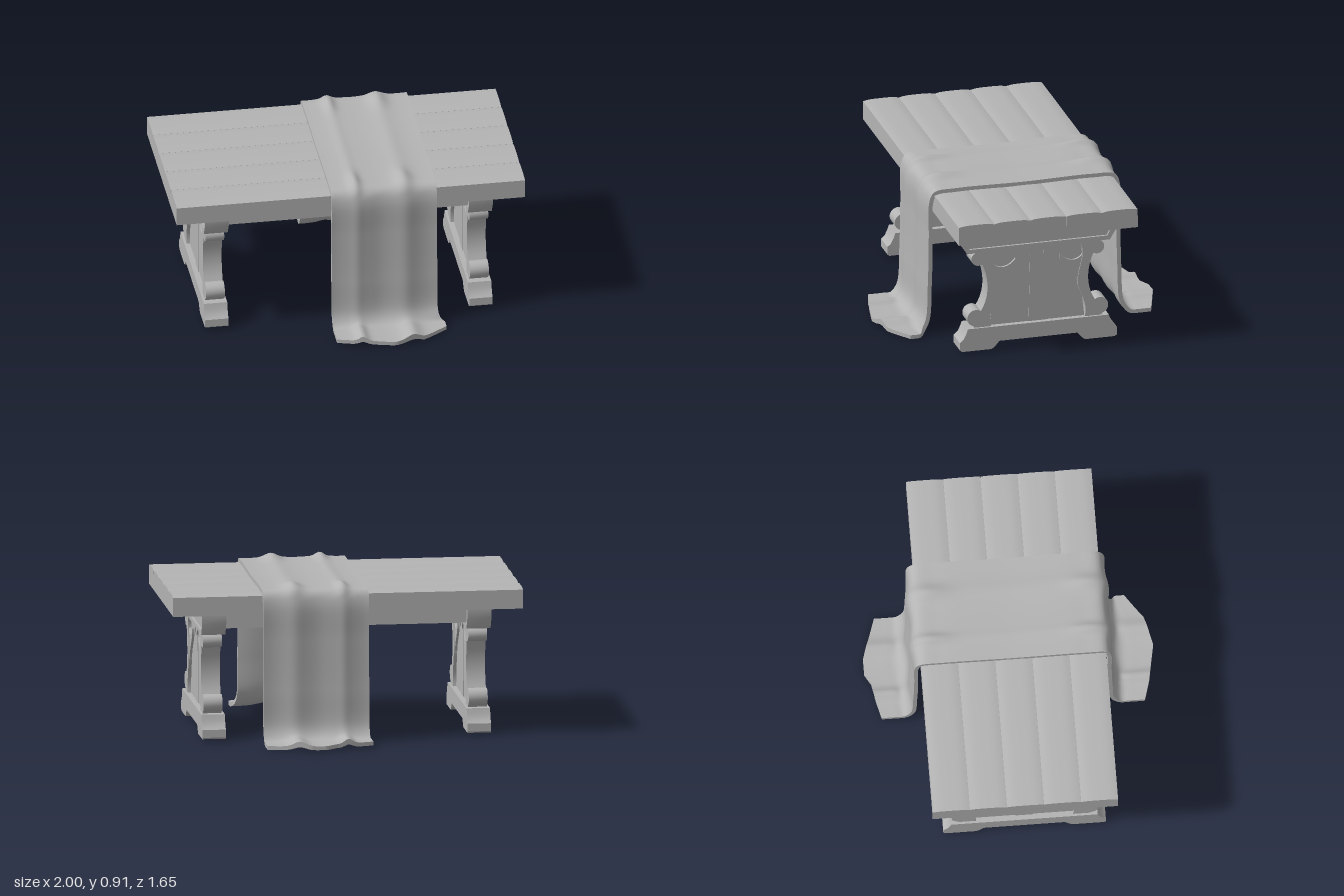
import * as THREE from 'three';
import { toCreasedNormals } from 'three/addons/utils/BufferGeometryUtils.js';

const stone = new THREE.MeshStandardMaterial({ color: 0xb4b4b4 });
stone.name = 'plain grey';

const mesh = (name, geometry) => {
  const m = new THREE.Mesh(geometry, stone);
  m.name = name;
  return m;
};

// Extrudes a (z, y) shape along x, centred on x = 0
function slab(name, shape, width) {
  const g = new THREE.ExtrudeGeometry(shape, { depth: width, bevelEnabled: false, curveSegments: 10 });
  g.translate(0, 0, -width / 2);
  g.rotateY(-Math.PI / 2);
  return mesh(name, toCreasedNormals(g, 0.6));
}
const poly = (pts, s = 1) => new THREE.Shape(pts.map(([z, y]) => new THREE.Vector2(z * s, y)));
// Outline from a half profile, mirrored in z
const symmetric = (half) => poly([...half, ...half.map(([z, y]) => [-z, y]).reverse()]);

// Five planks with slightly crowned tops and eased seams
function tableTop() {
  const top = new THREE.Group();
  top.name = 'tableTop';
  const w = 1.054 / 5;
  for (let i = 0; i < 5; i++) {
    const pts = [[-w / 2, 0.74], [w / 2, 0.74]];
    for (let k = 0; k <= 8; k++) {
      const t = 1 - k / 4;
      pts.push([(w / 2 - 0.0005) * t, 0.857 - 0.008 * t ** 4]);
    }
    const plank = slab('plank', poly(pts), 2);
    plank.position.z = 0.004 + (i - 2) * w;
    top.add(plank);
  }
  return top;
}

// Side scroll: round volutes at top and bottom joined by a concave sweep
function scrollShape(s) {
  const sh = new THREE.Shape();
  const P = (z, y) => [z * s, y];
  sh.moveTo(...P(0.275, 0.145));
  sh.lineTo(...P(0.37, 0.145));
  const arc = (cz, cy, r, a0, a1) => {
    for (let i = 0; i <= 12; i++) {
      const a = a0 + (a1 - a0) * i / 12;
      sh.lineTo(...P(cz + r * Math.cos(a), cy + r * Math.sin(a)));
    }
  };
  arc(0.365, 0.208, 0.05, -1.3, 2.2);
  sh.bezierCurveTo(...P(0.285, 0.33), ...P(0.285, 0.43), ...P(0.325, 0.53));
  arc(0.35, 0.567, 0.041, -2.0, 1.3);
  sh.lineTo(...P(0.34, 0.615));
  sh.lineTo(...P(0.24, 0.615));
  sh.bezierCurveTo(...P(0.30, 0.53), ...P(0.23, 0.46), ...P(0.235, 0.36));
  sh.bezierCurveTo(...P(0.24, 0.30), ...P(0.30, 0.24), ...P(0.275, 0.145));
  return sh;
}

// Hooked leaf growing from the inside of each scroll
function leafShape(s) {
  const sh = new THREE.Shape();
  const P = (z, y) => [z * s, y];
  sh.moveTo(...P(0.245, 0.36));
  sh.lineTo(...P(0.28, 0.55));
  sh.bezierCurveTo(...P(0.25, 0.49), ...P(0.18, 0.48), ...P(0.13, 0.545));
  sh.bezierCurveTo(...P(0.12, 0.47), ...P(0.21, 0.45), ...P(0.235, 0.36));
  return sh;
}

// Small curved spandrel under the bracket
function spandrelShape(s) {
  const sh = new THREE.Shape();
  sh.moveTo(0.04 * s, 0.54);
  sh.lineTo(0.035 * s, 0.615);
  sh.lineTo(0.14 * s, 0.615);
  sh.quadraticCurveTo(0.06 * s, 0.61, 0.04 * s, 0.54);
  return sh;
}

function trestle(x) {
  const leg = new THREE.Group();
  leg.name = 'trestle';
  leg.add(slab('foot', symmetric([
    [0.23, 0.06], [0.255, 0.03], [0.275, 0.015], [0.45, 0.015], [0.462, 0.025],
    [0.462, 0.07], [0.44, 0.09], [0.425, 0.12], [0.415, 0.15],
  ]), 0.134));
  leg.add(slab('centrePanel', symmetric([[0.28, 0.145], [0.25, 0.38], [0.28, 0.615]]), 0.07));
  leg.add(slab('pilaster', symmetric([[0.05, 0.145], [0.04, 0.615]]), 0.078));
  for (const s of [1, -1]) {
    leg.add(slab('scroll', scrollShape(s), 0.108));
    leg.add(slab('leaf', leafShape(s), 0.096));
    leg.add(slab('spandrel', spandrelShape(s), 0.09));
  }
  // Bracket core with a raised rim around its recessed faces
  leg.add(slab('bracketCore', symmetric([[0.42, 0.61], [0.46, 0.68], [0.46, 0.735]]), 0.112));
  leg.add(slab('bracketRim', poly([
    [-0.42, 0.61], [0.42, 0.61], [0.462, 0.68], [0.462, 0.735], [0.432, 0.735], [0.432, 0.69],
    [0.405, 0.635], [-0.405, 0.635], [-0.432, 0.69], [-0.432, 0.735], [-0.462, 0.735], [-0.462, 0.68],
  ]), 0.138));
  leg.position.set(x, 0, 0.012);
  return leg;
}

// Linear interpolation over [u, value] keys
function keyed(keys, u) {
  for (let i = 1; i < keys.length; i++) {
    const [a, va] = keys[i - 1], [b, vb] = keys[i];
    if (u <= b) return va + (vb - va) * (u - a) / (b - a);
  }
  return keys[keys.length - 1][1];
}

// Runner: a thick sheet swept over the table and onto the floor on both sides
function runner() {
  const half = [
    [0.82, 0.036], [0.7, 0.036], [0.62, 0.04], [0.582, 0.085], [0.566, 0.3],
    [0.56, 0.6], [0.557, 0.81], [0.53, 0.868], [0.4, 0.88],
  ];
  const path = [...half, [0, 0.876], ...half.map(([z, y]) => [-z, y]).reverse()];
  const curve = new THREE.CatmullRomCurve3(path.map(([z, y]) => new THREE.Vector3(0, y, z)));
  const n = 150, m = 40, thick = 0.022;
  const pts = curve.getSpacedPoints(n);
  const frontHem = [[0, 0.75], [0.2, 0.785], [0.35, 0.8], [0.54, 0.822], [0.8, 0.78], [1, 0.68]];
  const backHem = [[0, 0.745], [0.2, 0.775], [0.35, 0.79], [0.45, 0.825], [0.6, 0.825], [0.8, 0.785], [1, 0.745]];
  const bump = (x, c, w) => Math.exp(-(((x - c) / w) ** 2));
  const pos = [], idx = [], ring = 2 * (n + 1);

  for (let j = 0; j <= m; j++) {
    const u = j / m, x0 = -0.115 + 0.605 * u;
    const ridge = bump(x0, 0.03, 0.03) + bump(x0, 0.31, 0.045);
    const soft = 0.5 + 0.5 * Math.sin(x0 * 24 + 0.6);
    const outer = [], inner = [];
    for (let i = 0; i <= n; i++) {
      const p = pts[i], a = pts[Math.max(i - 1, 0)], b = pts[Math.min(i + 1, n)];
      const t = b.clone().sub(a).normalize();
      const ny = -t.z, nz = t.y, side = Math.abs(p.z);
      const onFloor = p.y < 0.2 ? THREE.MathUtils.smoothstep(side, 0.57, 0.68) : 0;
      const onTop = p.y > 0.84 ? 1 : 0;
      // Fold depth differs on the top, the drop and the floor
      const crest = onTop * bump(side, 0.45, 0.1);
      const d = ridge * (0.005 + 0.022 * crest + 0.02 * onFloor)
        + soft * (0.004 + 0.006 * (1 - onTop) * (1 - onFloor));
      let z = p.z;
      if (side > 0.6 && p.y < 0.2) {
        const hem = keyed(z > 0 ? frontHem : backHem, u);
        z = Math.sign(z) * (0.6 + (side - 0.6) * (hem - 0.6) / 0.22);
      }
      const flare = p.z > 0 ? 0.035 * onFloor * u ** 4 : 0;
      const at = (o) => [x0 + flare, Math.max(p.y + ny * o - 0.012 * onFloor * u, 0), z + nz * o];
      outer.push(at(d));
      inner.push(at(d * 0.6 - thick));
    }
    pos.push(...outer.flat(), ...inner.reverse().flat());
  }
  for (let j = 0; j < m; j++) {
    for (let i = 0; i < ring; i++) {
      const k = (i + 1) % ring, a = j * ring, b = a + ring;
      idx.push(a + i, b + i, b + k, a + i, b + k, a + k);
    }
  }
  // Close the two long edges
  for (let i = 0; i < n; i++) {
    const o = i, o2 = i + 1, q = ring - 1 - i, q2 = q - 1, e = m * ring;
    idx.push(e + q, e + q2, e + o2, e + q, e + o2, e + o);
    idx.push(q, o2, q2, q, o, o2);
  }
  const g = new THREE.BufferGeometry();
  g.setAttribute('position', new THREE.Float32BufferAttribute(pos, 3));
  g.setIndex(idx);
  return mesh('tableRunner', toCreasedNormals(g, 0.8));
}

export function createModel() {
  const model = new THREE.Group();
  model.name = 'trestleTable';
  model.add(tableTop(), trestle(0.756), trestle(-0.76), runner());
  // Long rails between the brackets
  for (const s of [1, -1]) {
    const rail = mesh('rail', new THREE.BoxGeometry(1.42, 0.102, 0.07));
    rail.position.set(0, 0.69, 0.012 + s * 0.35);
    model.add(rail);
  }
  return model;
}
